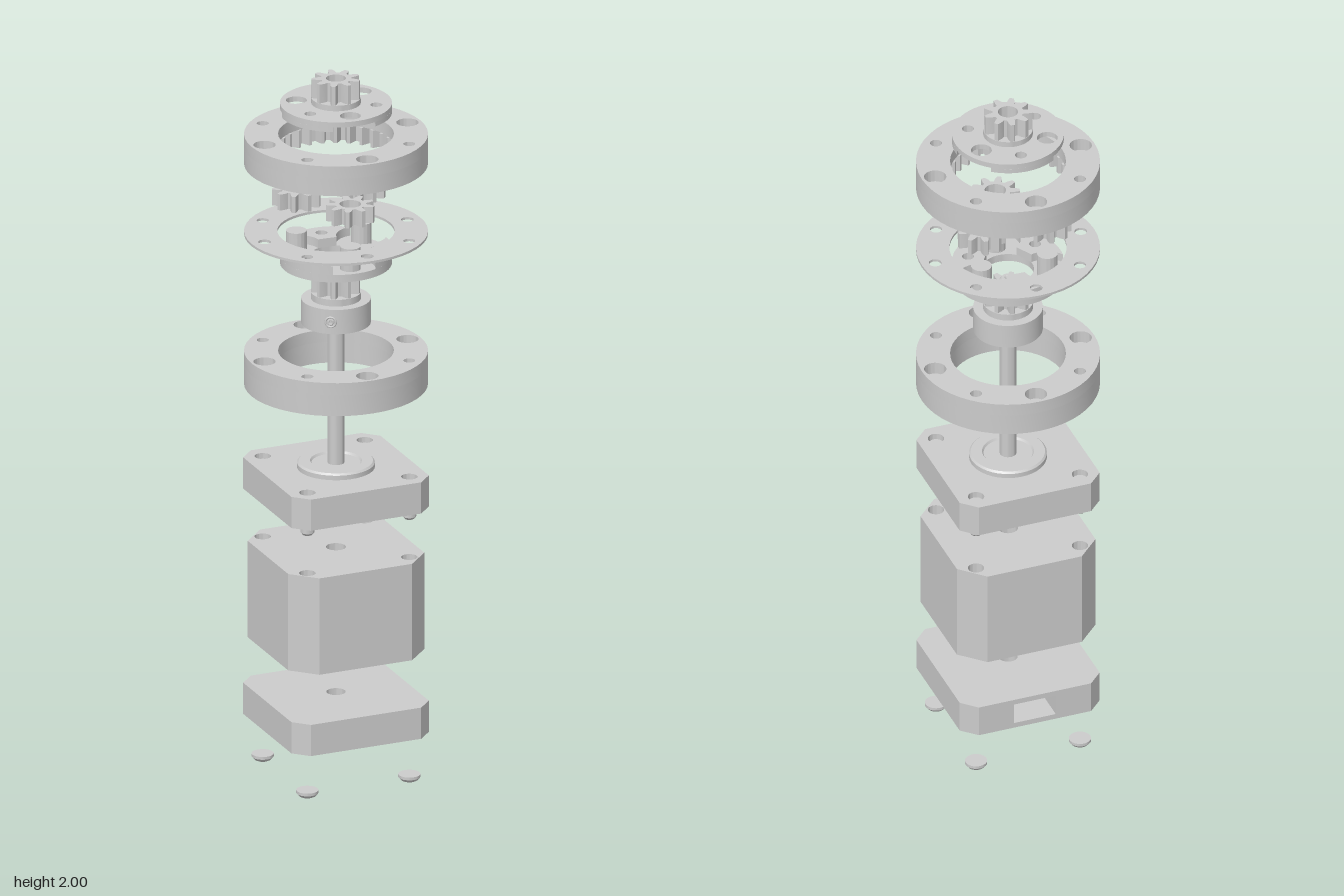
import * as THREE from 'three';
import { toCreasedNormals } from 'three/addons/utils/BufferGeometryUtils.js';

const material = new THREE.MeshStandardMaterial({ color: 0xcccccc });
const V = (x, y) => new THREE.Vector2(x, y);
const polar = (r, a) => V(r * Math.cos(a), r * Math.sin(a));

// Hole lists are [x, y, radius] in plan; plan y points to -z.
const ringOf = (n, dist, r, start = 0) => Array.from({ length: n }, (_, i) => {
  const p = polar(dist, start + i * 2 * Math.PI / n);
  return [p.x, p.y, r];
});
const circle = (r, x = 0, y = 0) => new THREE.Shape().absarc(x, y, r, 0, Math.PI * 2, false);

function mesh(name, geometry, parent) {
  const m = new THREE.Mesh(geometry, material);
  m.name = name;
  parent.add(m);
  return m;
}

// Extrudes a plan outline with round holes upward between two heights.
function plate(name, outline, y0, y1, parent, holes = [], cutouts = []) {
  const shape = new THREE.Shape(outline.getPoints(24));
  for (const [x, y, r] of holes) shape.holes.push(new THREE.Path().absarc(x, y, r, 0, Math.PI * 2, true));
  for (const pts of cutouts) shape.holes.push(new THREE.Path(pts));
  const g = new THREE.ExtrudeGeometry(shape, { depth: y1 - y0, bevelEnabled: false, curveSegments: 24 });
  g.rotateX(-Math.PI / 2).translate(0, y0, 0);
  return mesh(name, toCreasedNormals(g, 0.45), parent);
}

function lathe(name, pts, parent) {
  const g = new THREE.LatheGeometry(pts.map(p => V(...p)), 40);
  return mesh(name, toCreasedNormals(g, 0.45), parent);
}

// Square with chamfered corners and an optional notch in the back edge.
function chamferedSquare(h, c, notch) {
  const p = [V(h, -h + c), V(h, h - c), V(h - c, h)];
  if (notch) p.push(V(notch.w, h), V(notch.w, h - notch.d), V(-notch.w, h - notch.d), V(-notch.w, h));
  p.push(V(-h + c, h), V(-h, h - c), V(-h, -h + c), V(-h + c, -h), V(h - c, -h));
  return new THREE.Shape(p);
}

// Toothed outline, usable for outer and inner gears.
function toothPoints(n, root, tip, phase = 0) {
  const mid = (root + tip) / 2, pts = [];
  const flank = [[-0.36, root], [-0.25, mid], [-0.12, tip], [0.12, tip], [0.25, mid], [0.36, root]];
  for (let i = 0; i < n; i++)
    for (const [f, r] of flank) pts.push(polar(r, phase + (i + f) * 2 * Math.PI / n));
  return pts;
}
const gearShape = () => new THREE.Shape(toothPoints(9, 0.042, 0.066));

const PLANET_ANGLE = THREE.MathUtils.degToRad(27.3), PLANET_DIST = 0.108;
const SCREW_ANGLE = PLANET_ANGLE + Math.PI / 3;
const corners = r => ringOf(4, 0.212, r, Math.PI / 4);
const planets = r => ringOf(3, PLANET_DIST, r, PLANET_ANGLE);
const carrierScrews = ringOf(3, 0.11, 0.016, SCREW_ANGLE);

// Spacer blocks of a carrier, scooped out around the planet gears.
function spacers(y0, y1, inner, parent) {
  const outer = 0.151, clear = 0.068, d = PLANET_DIST;
  const half = r => Math.PI / 3 - Math.acos((r * r + d * d - clear * clear) / (2 * r * d));
  for (const [x, y, r] of carrierScrews) {
    const a = Math.atan2(y, x), pts = [];
    for (let i = 0; i <= 10; i++) {
      const q = inner + (outer - inner) * i / 10;
      pts.push(polar(q, a - half(q)));
    }
    for (let i = 1; i < 10; i++) pts.push(polar(outer, a + half(outer) * (i / 5 - 1)));
    for (let i = 10; i >= 0; i--) {
      const q = inner + (outer - inner) * i / 10;
      pts.push(polar(q, a + half(q)));
    }
    plate('carrierSpacer', new THREE.Shape(pts), y0, y1, parent, [[x, y, r]]);
  }
}

function group(name, parent) {
  const g = new THREE.Group();
  g.name = name;
  parent.add(g);
  return g;
}

// Flange ring: counterbored upper layer over a lower layer.
function flangeRing(name, y0, y1, parent, toothed) {
  const g = group(name, parent), split = y1 - 0.035, R = 0.248;
  const bore = [0, 0, 0.156];
  const lower = [...corners(0.016), ...ringOf(4, 0.21, 0.017)];
  plate('ringUpper', circle(R), split, y1, g, [...corners(0.016), ...ringOf(4, 0.21, 0.03), bore]);
  if (toothed) plate('ringTeeth', circle(R), y0, split, g, lower, [toothPoints(27, 0.174, 0.15).reverse()]);
  else plate('ringLower', circle(R), y0, split, g, [...lower, bore]);
}

export function createModel() {
  const model = new THREE.Group();
  model.name = 'explodedGearMotor';

  // Four loose screw heads below the motor
  for (const [x, y] of corners(0)) {
    const head = lathe('screwHead', [[0, 0], [0.012, 0.002], [0.023, 0.007], [0.03, 0.015], [0.03, 0.023], [0, 0.023]], model);
    head.position.set(x, 0, -y);
  }

  // Rear cover with a connector socket in its back
  const rear = group('rearCover', model);
  plate('coverBase', chamferedSquare(0.202, 0.04), 0.14, 0.155, rear, [...corners(0.03), [0, 0, 0.045]]);
  plate('coverSocketLayer', chamferedSquare(0.202, 0.04, { w: 0.06, d: 0.09 }), 0.155, 0.215, rear, [[0, 0, 0.026]]);
  plate('coverTop', chamferedSquare(0.202, 0.04), 0.215, 0.23, rear, [[0, 0, 0.026]]);

  // Motor body
  const body = group('motorBody', model);
  plate('bodyBlock', chamferedSquare(0.2, 0.064), 0.37, 0.6, body);
  plate('bodyTop', chamferedSquare(0.2, 0.064), 0.6, 0.648, body, [...corners(0.022), [0, 0, 0.027]]);

  // Front cover, pilot boss and screws
  const front = group('frontCover', model);
  plate('frontCoverPlate', chamferedSquare(0.202, 0.04), 0.79, 0.88, front, corners(0.022));
  lathe('pilotBoss', [[0.105, 0.88], [0.105, 0.893], [0.1, 0.898], [0.07, 0.898], [0.066, 0.892], [0, 0.892]], front);
  for (const [x, y] of corners(0))
    lathe('coverScrew', [[0, 0.76], [0.013, 0.76], [0.019, 0.767], [0.019, 0.865], [0, 0.865]], front).position.set(x, 0, -y);

  // Motor shaft with a centre dimple
  lathe('shaft', [[0, 0.89], [0.0225, 0.89], [0.0225, 1.455], [0.017, 1.463], [0.01, 1.463], [0, 1.453]], model);

  flangeRing('mountingRing', 1.12, 1.215, model, false);

  // Sun gear on a collar with a set screw
  const sun = group('sunGear', model), bore = [[0, 0, 0.0225]];
  plate('collar', circle(0.094), 1.297, 1.367, sun, bore);
  plate('collarStep', circle(0.068), 1.367, 1.386, sun, bore);
  plate('sunTeeth', gearShape(), 1.386, 1.436, sun, bore);
  const setScrew = group('setScrew', sun);
  mesh('setScrewRim', new THREE.TorusGeometry(0.014, 0.003, 8, 24), setScrew);
  mesh('setScrewSocket', new THREE.TorusGeometry(0.007, 0.003, 8, 6), setScrew);
  setScrew.position.set(-0.05, 1.331, 0.0785);
  setScrew.rotation.y = Math.atan2(-0.05, 0.0785);

  // Lower planet carrier with pins
  const carrier = group('planetCarrier', model);
  plate('carrierPlate', circle(0.151), 1.468, 1.49, carrier, [...carrierScrews, [0, 0, 0.07]]);
  spacers(1.49, 1.515, 0.07, carrier);
  for (const [x, y, r] of planets(0.028)) plate('planetPin', circle(r, x, y), 1.49, 1.555, carrier);

  // Thin spacer disc
  plate('spacerDisc', circle(0.248), 1.553, 1.56, model, [...corners(0.016), ...ringOf(4, 0.21, 0.017), [0, 0, 0.158]]);

  // Planet gears
  for (const [x, y] of planets(0)) {
    const gear = plate('planetGear', gearShape(), 1.63, 1.676, model, [[0, 0, 0.029]]);
    gear.position.set(x, 0, -y);
  }

  flangeRing('ringGear', 1.755, 1.84, model, true);

  // Output carrier with its pinion
  const output = group('outputCarrier', model);
  spacers(1.902, 1.915, 0.07, output);
  plate('outputPlate', circle(0.151), 1.915, 1.93, output, [...carrierScrews, ...planets(0.028), [0, 0, 0.027]]);
  plate('outputStep', circle(0.067), 1.93, 1.946, output, [[0, 0, 0.027]]);
  plate('outputPinion', gearShape(), 1.946, 2.0, output, [[0, 0, 0.027]]);

  return model;
}
